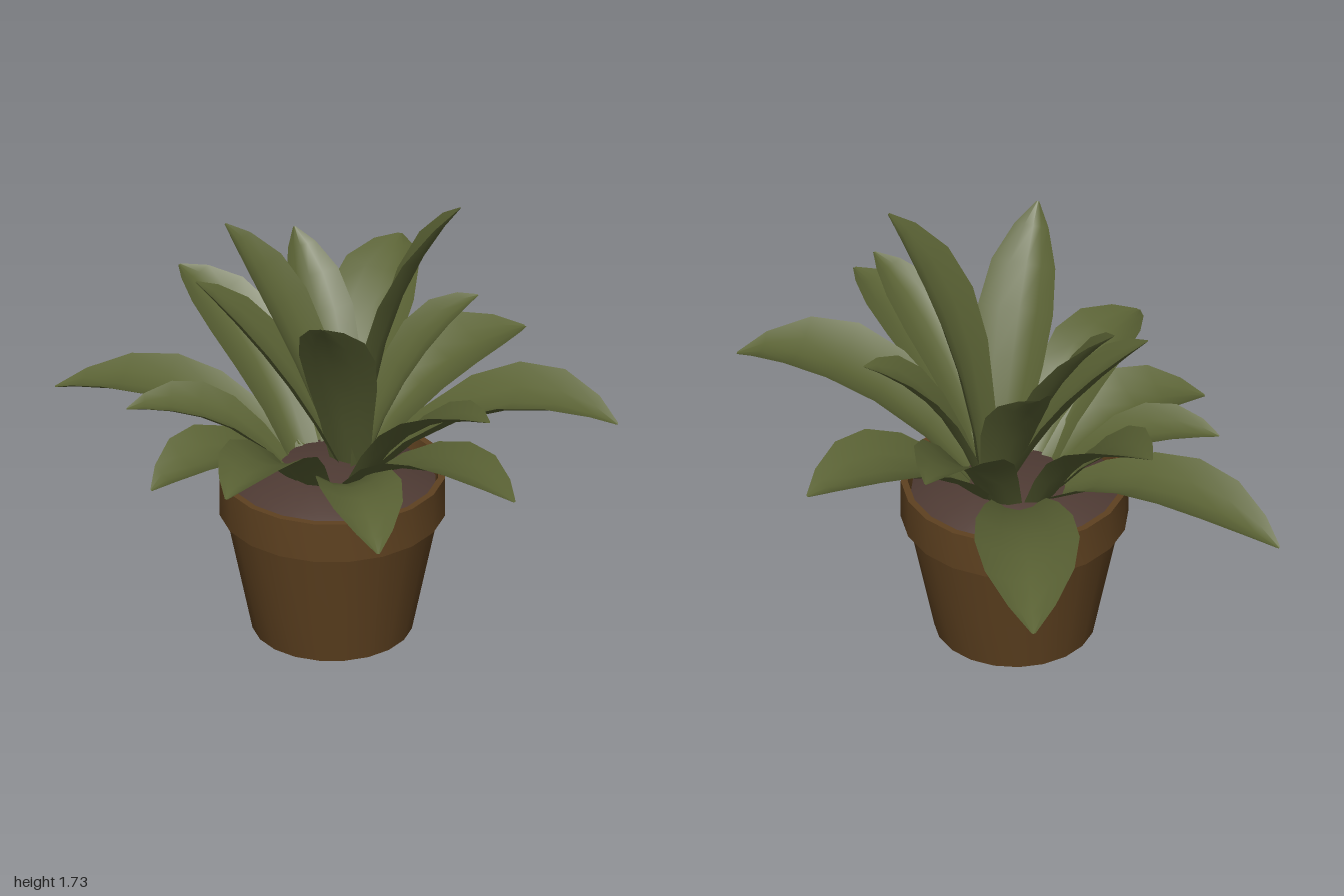
import * as THREE from 'three';
import { toCreasedNormals } from 'three/addons/utils/BufferGeometryUtils.js';

const leafGreen = new THREE.MeshStandardMaterial({ name: 'leafGreen', color: 0x5b6335, side: THREE.DoubleSide });
const terracotta = new THREE.MeshStandardMaterial({ name: 'terracottaBrown', color: 0x5e4120 });
const soilBrown = new THREE.MeshStandardMaterial({ name: 'soilBrown', color: 0x4f3b34 });

// Each leaf: tip x, y, z, height of the bend, half width, how far out the bend sits
const OUTER_LEAVES = [
  [-0.04, 0.72, -1.0, 0.87, 0.19, 0.46],
  [0.33, 1.15, -0.66, 1.1, 0.16, 0.42],
  [0.74, 0.90, -0.36, 0.97, 0.18, 0.4],
  [0.95, 0.945, 0.48, 1.14, 0.18, 0.48],
  [0.44, 1.16, 0.78, 1.07, 0.12, 0.42],
  [0.50, 0.945, 0.99, 0.98, 0.14, 0.42],
  [0.02, 0.715, 0.89, 0.89, 0.15, 0.44],
  [-0.51, 0.90, 0.74, 0.99, 0.15, 0.42],
  [-0.73, 0.76, 0.39, 0.91, 0.16, 0.42],
  [-0.76, 0.87, -0.02, 0.94, 0.13, 0.42],
  [-0.95, 0.71, -0.50, 0.92, 0.16, 0.44],
  [-0.49, 1.15, -0.55, 1.06, 0.15, 0.42],
];
const INNER_LEAVES = [
  [0.52, 1.23, -0.03, 1.13, 0.12, 0.4],
  [0.42, 1.73, 0.21, 1.34, 0.155, 0.15],
  [-0.14, 1.49, 0.60, 1.17, 0.14, 0.4],
  [-0.09, 1.34, -0.43, 1.1, 0.12, 0.42],
  [-0.37, 1.48, -0.24, 1.2, 0.13, 0.4],
  [-0.50, 1.34, -0.08, 1.08, 0.13, 0.42],
];

// Width along the leaf: [position, share of the full half width]
const OUTLINE = [[0, 0.5], [0.2, 0.7], [0.4, 0.92], [0.58, 1], [0.75, 0.85], [0.9, 0.45], [1, 0.04]];
const ACROSS = [-1, -0.5, 0, 0.5, 1];

// Channelled blade swept along a bent midrib
function leafGeometry([x, y, z, bendY, halfWidth, bendOut], crown, offset) {
  const tip = new THREE.Vector3(x, y, z);
  const dir = new THREE.Vector3(x - crown.x, 0, z - crown.z).normalize();
  const base = crown.clone().addScaledVector(dir, offset);
  const bend = base.clone().lerp(tip, bendOut).setY(bendY);
  const midrib = new THREE.QuadraticBezierCurve3(base, bend, tip);
  const side = new THREE.Vector3(dir.z, 0, -dir.x);
  const positions = [], index = [], n = ACROSS.length;
  OUTLINE.forEach(([t, share], i) => {
    const normal = midrib.getTangent(t).cross(side);
    const w = halfWidth * share;
    ACROSS.forEach((s, j) => {
      const p = midrib.getPoint(t).addScaledVector(side, s * w).addScaledVector(normal, 0.4 * w * s * s);
      positions.push(p.x, p.y, p.z);
      if (i && j) {
        const d = i * n + j, c = d - 1, b = d - n, a = b - 1;
        index.push(a, c, b, b, c, d);
      }
    });
  });
  const geo = new THREE.BufferGeometry();
  geo.setAttribute('position', new THREE.Float32BufferAttribute(positions, 3));
  geo.setIndex(index);
  geo.computeVertexNormals();
  return geo;
}

// Ring of leaves growing out from one crown point
function leafRing(name, specs, crown, offset) {
  const ring = new THREE.Group();
  ring.name = name;
  specs.forEach((spec, i) => {
    const leaf = new THREE.Mesh(leafGeometry(spec, crown, offset), leafGreen);
    leaf.name = `${name}Leaf${i + 1}`;
    ring.add(leaf);
  });
  return ring;
}

function turned(name, profile, material) {
  const points = profile.map(([r, h]) => new THREE.Vector2(r, h));
  const mesh = new THREE.Mesh(toCreasedNormals(new THREE.LatheGeometry(points, 20), 0.6), material);
  mesh.name = name;
  return mesh;
}

export function createModel() {
  const model = new THREE.Group();
  model.name = 'pottedPlant';

  // Pot with overhanging rim, and a mound of soil
  const pot = new THREE.Group();
  pot.name = 'pot';
  pot.position.set(-0.03, 0, 0.1);
  pot.add(
    turned('potBody', [[0, 0], [0.29, 0], [0.387, 0.48]], terracotta),
    turned('potRim', [[0.37, 0.475], [0.41, 0.475], [0.41, 0.63], [0.385, 0.63], [0.37, 0.54]], terracotta),
    turned('soil', [[0.38, 0.57], [0.3, 0.61], [0.18, 0.645], [0, 0.665]], soilBrown),
  );
  model.add(pot);

  // Rosette: drooping outer leaves and upright inner leaves
  model.add(
    leafRing('outer', OUTER_LEAVES, new THREE.Vector3(-0.035, 0.62, 0.08), 0.16),
    leafRing('inner', INNER_LEAVES, new THREE.Vector3(0.045, 0.62, 0.06), 0.045),
  );
  return model;
}
